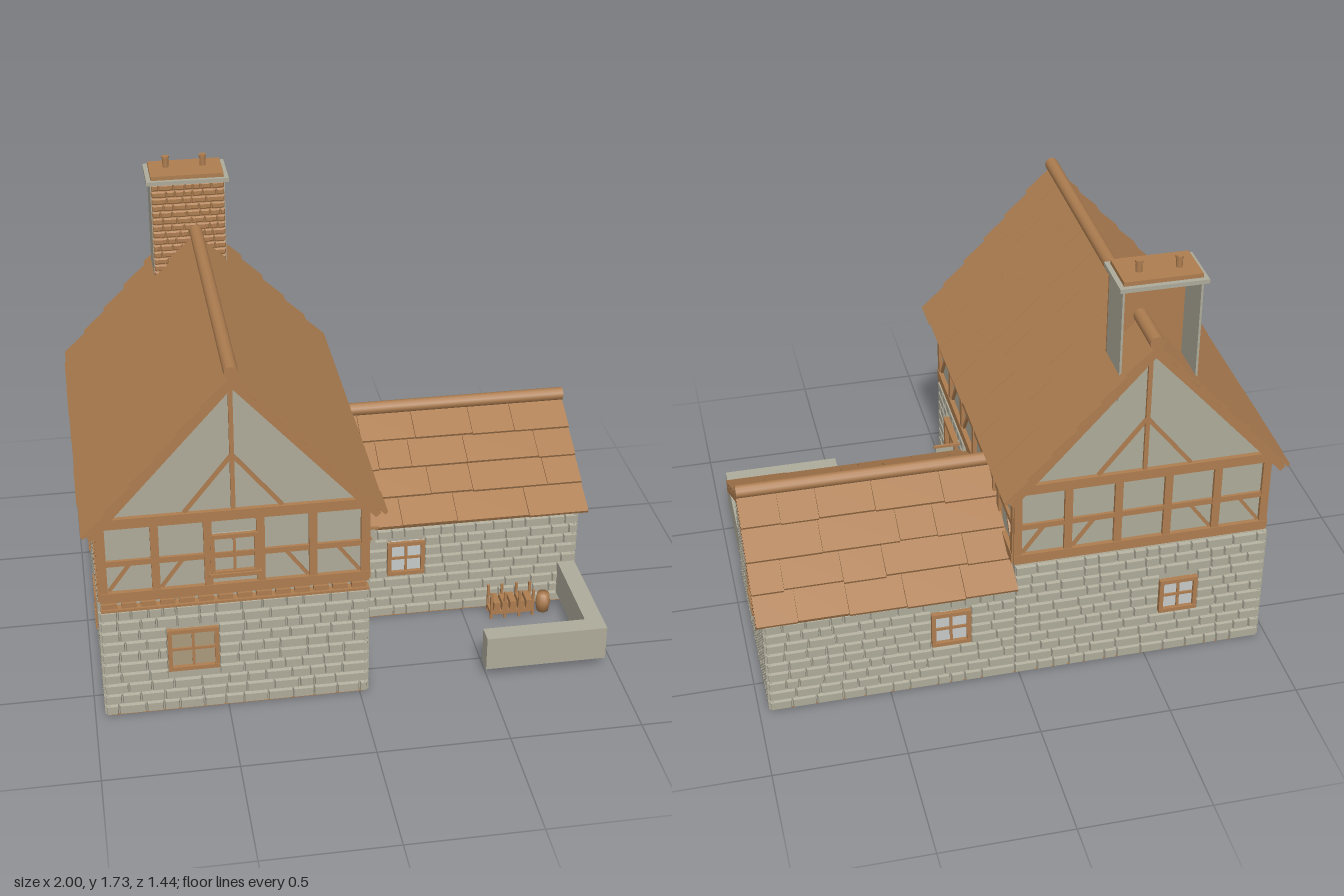
import * as THREE from 'three';
import { mergeGeometries } from 'three/addons/utils/BufferGeometryUtils.js';

const mat = (name, color) => Object.assign(new THREE.MeshStandardMaterial({ color }), { name });

export function createModel() {
  const wood = mat('wood', 0xad7d50), stone = mat('stone', 0xaeab9a);
  const glass = mat('glass', 0xc6cac8), tan = mat('tan pane', 0xab9a7c);
  const root = new THREE.Group();
  root.name = 'house';
  let seed = 7;
  const rnd = () => (seed = (seed * 16807) % 2147483647) / 2147483647;

  const add = (parent, name, geo, m) => {
    const mesh = new THREE.Mesh(geo, m);
    mesh.name = name;
    parent.add(mesh);
    return mesh;
  };
  // Box given by its minimum and maximum corners
  const boxGeo = (x0, x1, y0, y1, z0, z1) =>
    new THREE.BoxGeometry(x1 - x0, y1 - y0, z1 - z0).translate((x0 + x1) / 2, (y0 + y1) / 2, (z0 + z1) / 2);
  const box = (parent, name, m, ...b) => add(parent, name, boxGeo(...b), m);
  // Flat beam between two points of a wall face
  const bar = (x0, y0, x1, y1, w, z0, z1) =>
    new THREE.BoxGeometry(Math.hypot(x1 - x0, y1 - y0), w, z1 - z0)
      .rotateZ(Math.atan2(y1 - y0, x1 - x0)).translate((x0 + x1) / 2, (y0 + y1) / 2, (z0 + z1) / 2);
  // Wall face: local x runs along the wall, local z points outwards
  const face = (name, x, z, ry) => {
    const g = new THREE.Group();
    g.name = name;
    g.position.set(x, 0, z);
    g.rotation.y = ry;
    root.add(g);
    return g;
  };

  // Courses of chamfered bricks, leaving openings [x0, x1, y0, y1] free
  function bricks(g, name, m, x0, x1, y0, y1, rows, holes = [], depth = 0.014, size = 0.06) {
    const parts = [], h = (y1 - y0) / rows;
    for (let r = 0; r < rows; r++) {
      const b = y0 + r * h;
      const cuts = holes.filter(o => b + h > o[2] + 0.005 && b < o[3] - 0.005).sort((p, q) => p[0] - q[0]);
      let start = x0;
      for (const [c0, c1] of [...cuts, [x1, x1]]) {
        for (let x = start; x < c0 - 0.004;) {
          let w = size * (0.8 + rnd());
          if (c0 - x - w < size * 0.5) w = c0 - x;
          const geo = boxGeo(x + 0.001, x + w - 0.001, b + 0.002, b + h - 0.001, -0.004, depth);
          const p = geo.attributes.position, cx = x + w / 2, cy = b + h / 2;
          for (let i = 0; i < p.count; i++) if (p.getZ(i) > 0) {
            p.setX(i, p.getX(i) - Math.sign(p.getX(i) - cx) * 0.004);
            p.setY(i, p.getY(i) - Math.sign(p.getY(i) - cy) * 0.005);
          }
          geo.computeVertexNormals();
          parts.push(geo);
          x += w;
        }
        start = c1;
      }
    }
    add(g, name, mergeGeometries(parts), m);
  }

  // Window with frame, cross bars and pane
  function window4(g, x, y, w, h, pane) {
    box(g, 'windowPane', pane, x - w / 2, x + w / 2, y - h / 2, y + h / 2, 0, 0.006);
    const f = 0.016, l = x - w / 2, r = x + w / 2, b = y - h / 2, t = y + h / 2;
    add(g, 'windowFrame', mergeGeometries([
      boxGeo(l, l + f, b, t, 0, 0.02), boxGeo(r - f, r, b, t, 0, 0.02),
      boxGeo(l, r, t - f, t, 0, 0.02), boxGeo(l, r, b, b + f, 0, 0.022),
      boxGeo(x - 0.005, x + 0.005, b, t, 0, 0.013), boxGeo(l, r, y - 0.005, y + 0.005, 0, 0.013),
    ]), wood);
  }
  const hole = (x, y, w, h) => [x - w / 2, x + w / 2, y - h / 2, y + h / 2];

  // Stone storeys
  box(root, 'mainStoneWalls', stone, -0.95, 0.02, 0.006, 0.52, -0.66, 0.63);
  box(root, 'wingStoneWalls', stone, 0.02, 0.95, 0.006, 0.46, -0.66, 0.16);
  box(root, 'mainFloor', wood, -0.95, 0.02, 0, 0.006, -0.66, 0.63);
  box(root, 'wingFloor', wood, 0.02, 0.95, 0, 0.006, -0.66, 0.16);
  const stoneWalls = [
    // name, x, z, turn, from, to, height, windows [u, width, pane]
    ['mainFront', -0.465, 0.63, 0, -0.495, 0.495, 0.52, [[-0.16, 0.19, tan]]],
    ['mainBack', -0.465, -0.66, Math.PI, -0.485, 0.495, 0.52, [[0.155, 0.15, glass]]],
    ['mainRightSide', -0.95, -0.015, -Math.PI / 2, -0.655, 0.655, 0.52, [[-0.25, 0.15, glass], [0.295, 0.15, glass]]],
    ['wingFront', 0.485, 0.16, 0, -0.465, 0.475, 0.46, [[-0.22, 0.15, glass]]],
    ['wingBack', 0.485, -0.66, Math.PI, -0.475, 0.465, 0.46, [[0.22, 0.15, glass]]],
    ['wingEnd', 0.95, -0.25, Math.PI / 2, -0.42, 0.42, 0.46, [[0.015, 0.155, glass]]],
  ];
  for (const [name, x, z, ry, a, b, h, wins] of stoneWalls) {
    const g = face(name, x, z, ry);
    bricks(g, 'stoneBricks', stone, a, b, 0.006, h, h > 0.5 ? 11 : 10, wins.map(([u, w]) => hole(u, 0.28, w, w)));
    for (const [u, w, pane] of wins) window4(g, u, 0.28, w, w === 0.19 ? 0.18 : w, pane);
  }

  // Entrance wall and door beside the wing
  const entry = face('entrance', 0.02, -0.015, Math.PI / 2);
  bricks(entry, 'stoneBricks', stone, -0.655, -0.17, 0.006, 0.52, 11, [[-0.495, -0.28, 0, 0.44]]);
  box(entry, 'door', wood, -0.48, -0.295, 0.006, 0.42, 0, 0.008);
  box(entry, 'doorPane', glass, -0.395, -0.32, 0.34, 0.415, 0.008, 0.011);
  add(entry, 'doorFrame', mergeGeometries([
    boxGeo(-0.495, -0.47, 0.006, 0.44, 0, 0.024), boxGeo(-0.305, -0.28, 0.006, 0.44, 0, 0.024),
    boxGeo(-0.495, -0.28, 0.42, 0.44, 0, 0.026), bar(-0.46, 0.19, -0.31, 0.34, 0.03, 0, 0.015),
    boxGeo(-0.465, -0.31, 0.06, 0.085, 0, 0.015), boxGeo(-0.43, -0.42, 0.006, 0.42, 0, 0.013),
  ]), wood);

  // Plaster storey and gables
  box(root, 'upperWalls', stone, -0.945, 0.015, 0.52, 0.88, -0.65, 0.65);
  const tri = new THREE.Shape([[-0.48, 0.88], [0.48, 0.88], [0, 1.405]].map(p => new THREE.Vector2(...p)));
  add(root, 'mainGables', new THREE.ExtrudeGeometry(tri, { depth: 1.3, bevelEnabled: false }).translate(-0.465, 0, -0.65), stone);

  // Timber framing of one upper wall
  function framing(g, half, panels) {
    const parts = [
      boxGeo(-half, half, 0.53, 0.57, 0, 0.018), boxGeo(-half, half, 0.68, 0.702, 0, 0.012),
      boxGeo(-half, half, 0.84, 0.88, 0, 0.018),
    ];
    const step = (2 * half - 0.03) / panels;
    for (let i = 0; i <= panels; i++) {
      const x = -half + 0.015 + i * step;
      parts.push(boxGeo(x - 0.015, x + 0.015, 0.53, 0.88, 0, 0.015));
      if (i === panels) continue;
      const s = i < panels / 2 ? 1 : -1, foot = s > 0 ? x : x + step;
      if (panels === 5 && i === 2) continue;
      parts.push(bar(foot + s * 0.02, 0.575, foot + s * 0.1, 0.685, 0.012, 0, 0.01));
    }
    add(g, 'timberFrame', mergeGeometries(parts), wood);
  }
  for (const [name, z, ry] of [['frontGableFrame', 0.65, 0], ['backGableFrame', -0.65, Math.PI]]) {
    const g = face(name, -0.465, z, ry);
    framing(g, 0.49, 5);
    add(g, 'gableTimbers', mergeGeometries([
      bar(0, 0.88, 0, 1.4, 0.016, 0, 0.012),
      ...[-1, 1].flatMap(s => [bar(s * 0.175, 0.88, 0, 1.1, 0.014, 0, 0.01), bar(s * 0.49, 0.862, 0, 1.397, 0.025, 0, 0.03)]),
    ]), wood);
    if (ry === 0) {
      window4(g, 0, 0.695, 0.175, 0.17, stone);
      box(g, 'windowSill', wood, -0.095, 0.095, 0.605, 0.62, 0, 0.03);
      box(g, 'frontBeam', wood, -0.49, 0.49, 0.495, 0.505, -0.02, 0.028);
      const joists = [];
      for (let i = 0; i < 14; i++) joists.push(boxGeo(-0.485 + i * 0.07, -0.43 + i * 0.07, 0.508, 0.528, -0.02, 0.024));
      add(g, 'joistEnds', mergeGeometries(joists), wood);
    }
  }
  for (const [name, x, ry, u] of [['leftFrame', 0.015, Math.PI / 2, 0.285], ['rightFrame', -0.945, -Math.PI / 2, -0.285]]) {
    const g = face(name, x, 0, ry);
    framing(g, 0.655, 6);
    window4(g, u, 0.69, 0.175, 0.175, stone);
  }

  // Wing gables clad in boards
  const wingTri = new THREE.Shape([[-0.425, 0.455], [0.425, 0.455], [0, 0.71]].map(p => new THREE.Vector2(...p)));
  add(root, 'wingGable', new THREE.ExtrudeGeometry(wingTri, { depth: 0.93, bevelEnabled: false })
    .rotateY(Math.PI / 2).translate(0.02, 0, -0.255), wood);
  const cladding = [];
  for (let i = 0; i < 6; i++) {
    const y = 0.46 + i * 0.04, w = 0.425 * (1 - (y + 0.036 - 0.455) / 0.255);
    cladding.push(bar(-w, y + 0.018, w, y + 0.018, 0.034, 0, 0.01));
  }
  add(face('wingEndGable', 0.95, -0.255, Math.PI / 2), 'gableBoards', mergeGeometries(cladding), wood);

  // Roof: two slopes of overlapping shingle rows and a round ridge
  function roof(name, x, z, ry, half, ridgeY, eaveY, len, rows, tile) {
    const g = face(name, x, z, ry);
    const L = Math.hypot(half, ridgeY - eaveY), a = Math.atan2(ridgeY - eaveY, half), rowL = L / rows;
    for (const turn of [0, Math.PI]) {
      const parts = [boxGeo(0, L, -0.024, 0, -len / 2, len / 2)];
      for (let r = 0; r < rows; r++) {
        for (let p = -len / 2; p < len / 2 - 0.001;) {
          let w = tile * (0.6 + 0.8 * rnd());
          if (len / 2 - p - w < tile * 0.4) w = len / 2 - p;
          const l = rowL * 1.06 + rnd() * 0.01;
          parts.push(new THREE.BoxGeometry(l, 0.013, w - 0.002).rotateZ(0.09)
            .translate(r * rowL + l / 2, 0.005 + rnd() * 0.002, p + w / 2));
          p += w;
        }
      }
      add(g, 'roofSlope', mergeGeometries(parts).rotateZ(-a).translate(0, ridgeY, 0).rotateY(turn), wood);
    }
    add(g, 'ridge', new THREE.CylinderGeometry(0.026, 0.026, len, 12).rotateX(Math.PI / 2).translate(0, ridgeY + 0.021, 0), wood);
  }
  roof('mainRoof', -0.465, 0, 0, 0.522, 1.428, 0.845, 1.43, 6, 0.19);
  roof('wingRoof', 0.505, -0.255, Math.PI / 2, 0.445, 0.71, 0.445, 0.97, 4, 0.22);

  // Chimney: brick front, plain sides, open at the back
  const chimney = face('chimney', -0.49, -0.5, 0);
  box(chimney, 'chimneyFront', wood, -0.145, 0.145, 1.2, 1.65, -0.012, -0.004);
  bricks(chimney, 'chimneyBricks', wood, -0.143, 0.143, 1.2, 1.65, 16, [], 0.003, 0.035);
  for (const s of [-1, 1]) box(chimney, 'chimneySide', stone, s * 0.141 - 0.004, s * 0.141 + 0.004, 1.2, 1.65, -0.172, -0.004);
  box(chimney, 'chimneyCap', stone, -0.16, 0.16, 1.65, 1.666, -0.19, 0.01);
  box(chimney, 'chimneyTop', wood, -0.142, 0.142, 1.666, 1.682, -0.172, -0.005);
  for (const x of [-0.075, 0.07]) {
    add(chimney, 'chimneyPot', new THREE.CylinderGeometry(0.012, 0.012, 0.05, 12).translate(x, 1.702, -0.105), wood);
    add(chimney, 'potRim', new THREE.CylinderGeometry(0.015, 0.015, 0.008, 12).translate(x, 1.722, -0.105), wood);
  }

  // Low yard wall
  box(root, 'yardWallFront', stone, 0.49, 0.96, 0.05, 0.19, 0.57, 0.64);
  box(root, 'yardWallSide', stone, 0.89, 0.96, 0.05, 0.19, 0.17, 0.57);

  // Hanging board near the corner
  box(root, 'hangingBoard', stone, 0.06, 0.13, 0.4, 0.465, 0.226, 0.232);
  add(root, 'boardEmblem', new THREE.CircleGeometry(0.022, 12, 0, Math.PI).translate(0.095, 0.418, 0.234), wood);
  box(root, 'boardArm', wood, 0.02, 0.14, 0.465, 0.475, 0.224, 0.234);

  // Log rack and small barrel in the yard
  const rack = [boxGeo(0.6, 0.78, 0.02, 0.035, 0.18, 0.25)];
  for (const x of [0.605, 0.66, 0.72, 0.775]) for (const z of [0.185, 0.245]) rack.push(boxGeo(x - 0.005, x + 0.005, 0, 0.12, z - 0.005, z + 0.005));
  for (let i = 0; i < 5; i++) rack.push(boxGeo(0.615 + i * 0.033, 0.64 + i * 0.033, 0.035, 0.075, 0.18, 0.25));
  add(root, 'logRack', mergeGeometries(rack), wood);
  const barrel = [[0, 0], [0.024, 0], [0.03, 0.04], [0.024, 0.08], [0, 0.08]].map(p => new THREE.Vector2(...p));
  add(root, 'barrel', new THREE.LatheGeometry(barrel, 12).translate(0.825, 0, 0.215), wood);

  return root;
}
